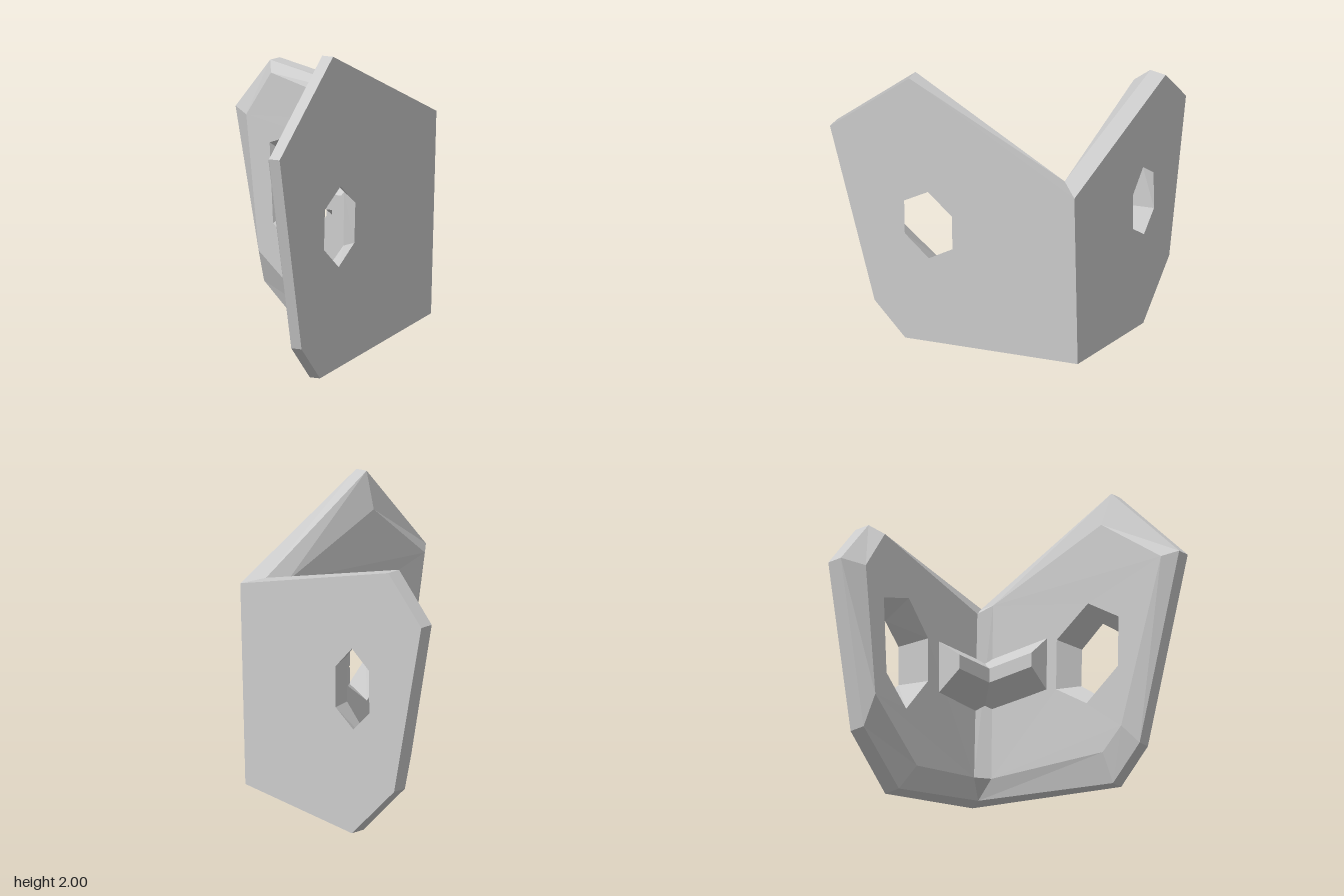
import * as THREE from 'three';

const V = (x, y, z) => new THREE.Vector3(x, y, z);

// Flat-shaded surface from triangles of Vector3
function toMesh(name, tris, material) {
  const g = new THREE.BufferGeometry().setFromPoints(tris);
  g.computeVertexNormals();
  const m = new THREE.Mesh(g, material);
  m.name = name;
  return m;
}

// Adds a triangle, turned so that it faces the given direction
function facing(tris, a, b, c, dir) {
  const n = b.clone().sub(a).cross(c.clone().sub(a));
  if (n.dot(dir) >= 0) tris.push(a, b, c);
  else tris.push(a, c, b);
}

// Joins two matching loops with quads
function strip(tris, a, b, closed) {
  const n = a.length;
  for (let i = 0; i < (closed ? n : n - 1); i++) {
    const j = (i + 1) % n;
    tris.push(a[i], a[j], b[j], a[i], b[j], b[i]);
  }
}

// Flat face with one hole
function cap(tris, loop, hole, flat, dir) {
  const pts = [...loop, ...hole];
  const faces = THREE.ShapeUtils.triangulateShape(loop.map(flat), [hole.map(flat)]);
  for (const [a, b, c] of faces) facing(tris, pts[a], pts[b], pts[c], dir);
}

// Plate: outer face, straight rim, chamfer to the inner face, tapered hole
function plate(name, outer, rim, inner, holeOut, holeIn, flat, dir, material) {
  const tris = [];
  strip(tris, outer, rim, false);
  strip(tris, rim, inner, false);
  strip(tris, holeIn, holeOut, true);
  cap(tris, outer, holeOut, flat, dir.clone().negate());
  cap(tris, inner, holeIn, flat, dir);
  return toMesh(name, tris, material);
}

export function createModel() {
  const group = new THREE.Group();
  group.name = 'cornerBracket';
  const grey = new THREE.MeshStandardMaterial({ color: 0xcccccc });
  grey.name = 'light grey';

  // Shared corner points
  const outT = V(0.69, 1.505, -0.873), outB = V(0.65, 0.24, -0.873);
  const rimT = V(0.59, 1.53, -0.745), rimB = V(0.56, 0.22, -0.745);
  const backT = V(0.48, 1.44, -0.68), backB = V(0.45, 0.32, -0.68);
  const sideT = V(0.535, 1.49, -0.6), sideB = V(0.52, 0.31, -0.6);

  // Back plate, outlines in x, y
  const backOutline = [[-0.45, 1.74], [-0.705, 1.43], [-0.495, 0.36], [-0.17, 0.05]];
  const backInner = [[-0.39, 1.675], [-0.57, 1.4], [-0.48, 0.56], [-0.09, 0.21]];
  const backZ = (x) => -0.861 - 0.0175 * x;
  const faceZ = (x) => -0.67 - 0.018 * x;
  const backHoleOut = [[-0.17, 1.22], [-0.3, 1.1], [-0.305, 0.83], [-0.18, 0.71], [-0.045, 0.83], [-0.045, 1.09]];
  const backHoleIn = [[-0.165, 1.32], [-0.4, 1.24], [-0.375, 0.74], [-0.19, 0.56], [0.015, 0.82], [0.015, 1.11]];
  group.add(plate('backPlate',
    [outT, ...backOutline.map(([x, y]) => V(x, y, backZ(x))), outB],
    [rimT, ...backOutline.map(([x, y]) => V(x, y, -0.745)), rimB],
    [backT, ...backInner.map(([x, y]) => V(x, y, faceZ(x))), backB],
    backHoleOut.map(([x, y]) => V(x, y, backZ(x))),
    backHoleIn.map(([x, y]) => V(x, y, faceZ(x))),
    (p) => new THREE.Vector2(p.x, p.y), V(0, 0, 1), grey));

  // Side plate, outlines in z, y
  const sideOutline = [[0.36, 0], [0.575, 0.21], [0.873, 1.43], [0.3, 2]];
  const sideInner = [[0.32, 0.205], [0.47, 0.34], [0.78, 1.4], [0.28, 1.77]];
  const outX = (y) => 0.645 + 0.0285 * y;
  const rimX = (y) => 0.57 + 0.026 * y;
  const faceX = (y) => 0.515 + 0.02 * y;
  const sideHoleOut = [[0.18, 1.175], [0.01, 1.05], [0.01, 0.8], [0.18, 0.67], [0.35, 0.8], [0.35, 1.05]];
  const sideHoleIn = sideHoleOut.map(([z, y]) => [0.18 + (z - 0.18) * 1.5, 0.92 + (y - 0.92) * 1.35]);
  group.add(plate('sidePlate',
    [outB, ...sideOutline.map(([z, y]) => V(outX(y), y, z)), outT],
    [rimB, ...sideOutline.map(([z, y]) => V(rimX(y), y, z)), rimT],
    [sideB, ...sideInner.map(([z, y]) => V(faceX(y), y, z)), sideT],
    sideHoleOut.map(([z, y]) => V(outX(y), y, z)),
    sideHoleIn.map(([z, y]) => V(faceX(y), y, z)),
    (p) => new THREE.Vector2(p.z, p.y), V(-1, 0, 0), grey));

  // Narrow chamfer in the inside corner
  const corner = [];
  const inward = V(-1, 0, 1);
  facing(corner, backB, sideB, sideT, inward);
  facing(corner, backB, sideT, backT, inward);
  facing(corner, rimT, backT, sideT, V(0, 1, 0));
  facing(corner, rimB, backB, sideB, V(0, -1, 0));
  group.add(toMesh('cornerChamfer', corner, grey));

  // Mitred rib: a trapezoid section carried around the inside corner
  const rib = [];
  const section = [[0, 0.77], [1, 0.89], [1, 0.985], [0, 1.14]];
  const mix = THREE.MathUtils.lerp;
  const start = section.map(([t, y]) => V(0.12, y, mix(-0.69, -0.505, t)));
  const mitre = section.map(([t, y]) => V(mix(0.545, 0.395, t), y, mix(-0.69, -0.505, t)));
  const end = section.map(([t, y]) => V(mix(0.545, 0.395, t), y, -0.155));
  strip(rib, mitre, start, true);
  strip(rib, end, mitre, true);
  for (const [s, dir] of [[start, V(-1, 0, 0)], [end, V(0, 0, 1)]]) {
    facing(rib, s[0], s[1], s[2], dir);
    facing(rib, s[0], s[2], s[3], dir);
  }
  group.add(toMesh('cornerRib', rib, grey));

  return group;
}
